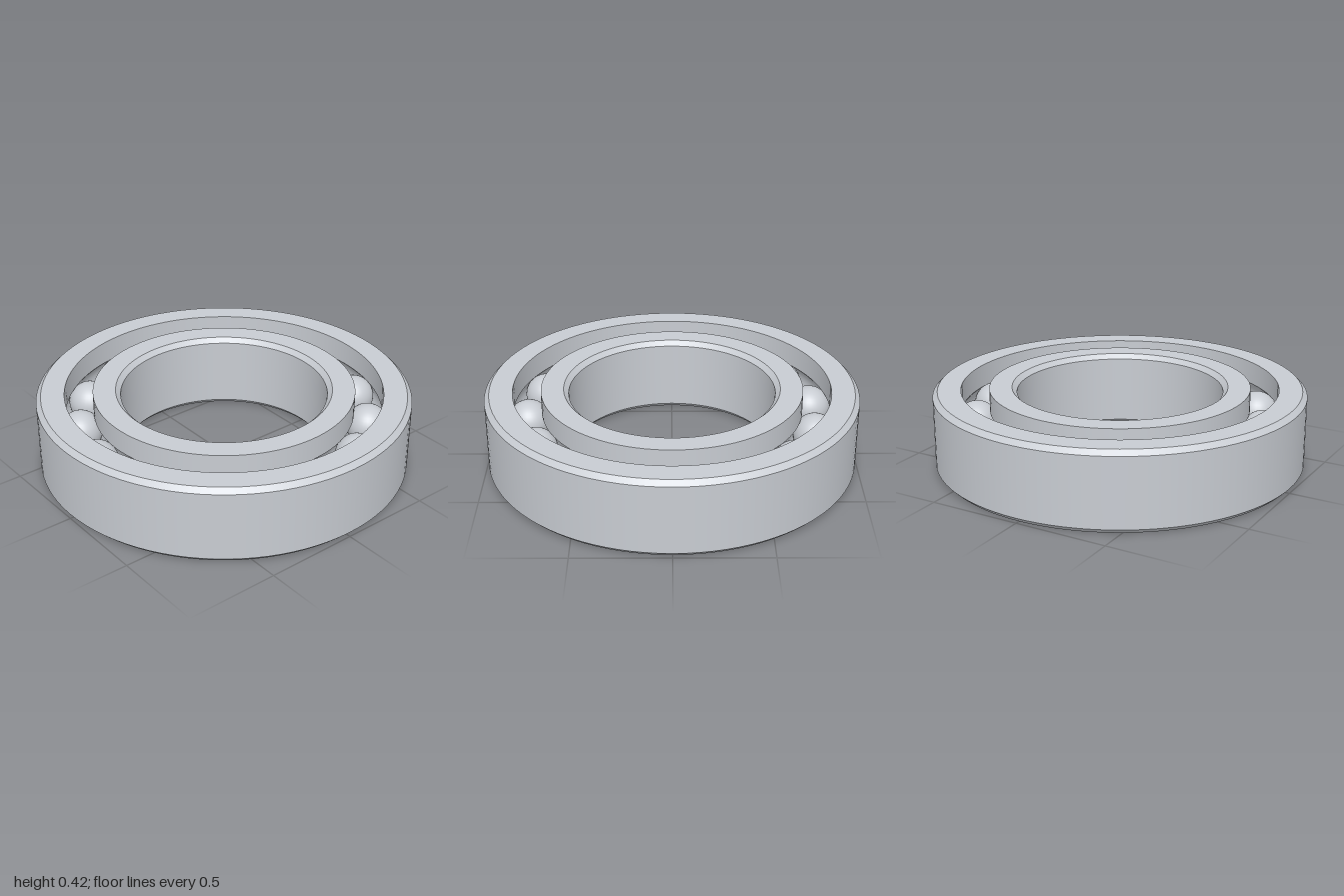
import * as THREE from 'three';
import { mergeGeometries } from 'three/addons/utils/BufferGeometryUtils.js';

const HEIGHT = 0.424, MID = HEIGHT / 2, CHAMFER = 0.026;
const PITCH = 0.775, BALL_R = 0.115, BALLS = 15, SEGMENTS = 96;
const SHOULDER = 0.075; // distance from the pitch circle to each raceway shoulder

// Sweep each smooth run separately so edges between runs stay sharp
function ringGeometry(runs) {
  return mergeGeometries(runs.map((run) =>
    new THREE.LatheGeometry(run.map(([r, y]) => new THREE.Vector2(r, y)), SEGMENTS)));
}

// Groove arc that cradles the balls; side +1 is the outer ring, -1 the inner ring
function groove(side) {
  const a = Math.acos(SHOULDER / BALL_R);
  return Array.from({ length: 13 }, (_, i) => {
    const t = a - (2 * a * i) / 12;
    return [PITCH + side * BALL_R * Math.cos(t), MID + side * BALL_R * Math.sin(t)];
  });
}

// Closed section, counter-clockwise in (radius, y), with one chamfered wall and one grooved wall
function ringRuns(side, wall) {
  const face = wall - side * CHAMFER, race = PITCH + side * SHOULDER;
  const arc = groove(side), last = arc[arc.length - 1];
  const lo = side > 0 ? 0 : HEIGHT, hi = HEIGHT - lo;
  const c = side * CHAMFER;
  return [
    [[face, lo], [wall, lo + c]],
    [[wall, lo + c], [wall, hi - c]],
    [[wall, hi - c], [face, hi]],
    [[face, hi], [race, hi]],
    [[race, hi], arc[0]],
    arc,
    [last, [race, lo]],
    [[race, lo], [face, lo]],
  ];
}

export function createModel() {
  const model = new THREE.Group();
  model.name = 'ballBearing';
  const steel = new THREE.MeshStandardMaterial({ color: 0xc8ccd2 });
  steel.name = 'steel';

  // Outer and inner rings
  const add = (name, geometry, parent = model) => {
    const mesh = new THREE.Mesh(geometry, steel);
    mesh.name = name;
    parent.add(mesh);
    return mesh;
  };
  add('outerRing', ringGeometry(ringRuns(1, 1)));
  add('innerRing', ringGeometry(ringRuns(-1, 0.553)));

  // Balls spaced evenly round the raceway
  const balls = new THREE.Group();
  balls.name = 'balls';
  model.add(balls);
  const ball = new THREE.SphereGeometry(BALL_R, 32, 20);
  for (let i = 0; i < BALLS; i++) {
    const a = (i / BALLS) * Math.PI * 2;
    add(`ball${i + 1}`, ball, balls).position.set(PITCH * Math.cos(a), MID, PITCH * Math.sin(a));
  }
  return model;
}
